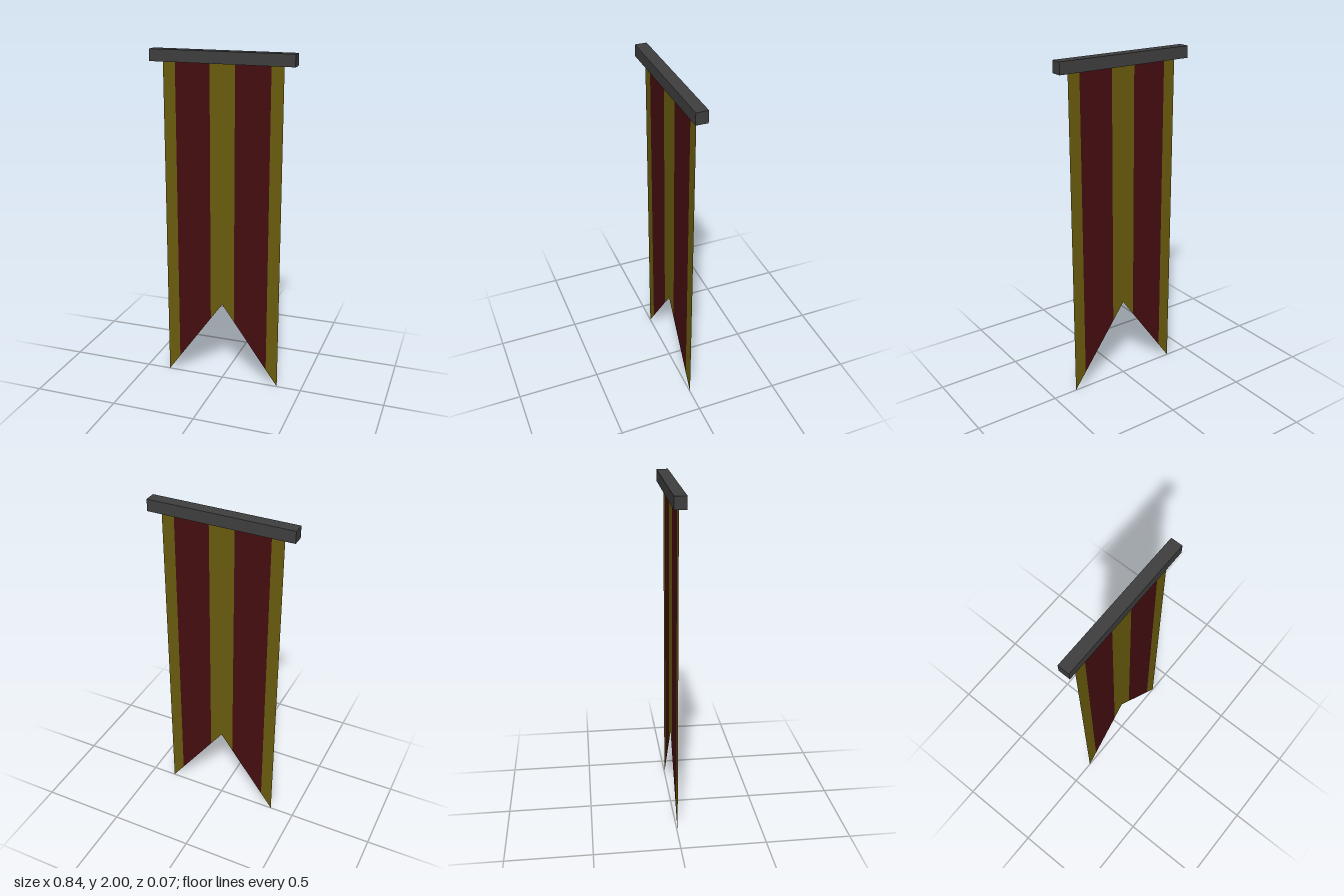
import * as THREE from 'three';

const HALF = 0.352, NOTCH = 0.495, TOP = 1.932;

// Height of the swallowtail lower edge at x
const hem = (x) => NOTCH * (1 - Math.abs(x) / HALF);

export function createModel() {
  const group = new THREE.Group();
  group.name = 'hangingBanner';

  const iron = new THREE.MeshStandardMaterial({ name: 'darkIron', color: 0x3e3e3e });
  const gold = new THREE.MeshStandardMaterial({ name: 'oldGold', color: 0x695b0d, side: THREE.DoubleSide });
  const red = new THREE.MeshStandardMaterial({ name: 'deepRed', color: 0x450d10, side: THREE.DoubleSide });

  // Square crossbar
  const bar = new THREE.Mesh(new THREE.BoxGeometry(0.84, 2 - TOP, 0.068), iron);
  bar.name = 'crossbar';
  bar.position.y = (2 + TOP) / 2;
  group.add(bar);

  // Flat cloth stripes, each cut along the hem
  const addStripe = (name, x0, x1, material) => {
    const xs = x0 < 0 && x1 > 0 ? [x0, 0, x1] : [x0, x1];
    const points = xs.map((x) => new THREE.Vector2(x, hem(x)));
    points.push(new THREE.Vector2(x1, TOP), new THREE.Vector2(x0, TOP));
    const stripe = new THREE.Mesh(new THREE.ShapeGeometry(new THREE.Shape(points)), material);
    stripe.name = name;
    group.add(stripe);
  };
  addStripe('rightTrim', -HALF, -0.28, gold);
  addStripe('rightField', -0.28, -0.074, red);
  addStripe('centreStripe', -0.074, 0.074, gold);
  addStripe('leftField', 0.074, 0.28, red);
  addStripe('leftTrim', 0.28, HALF, gold);

  return group;
}
